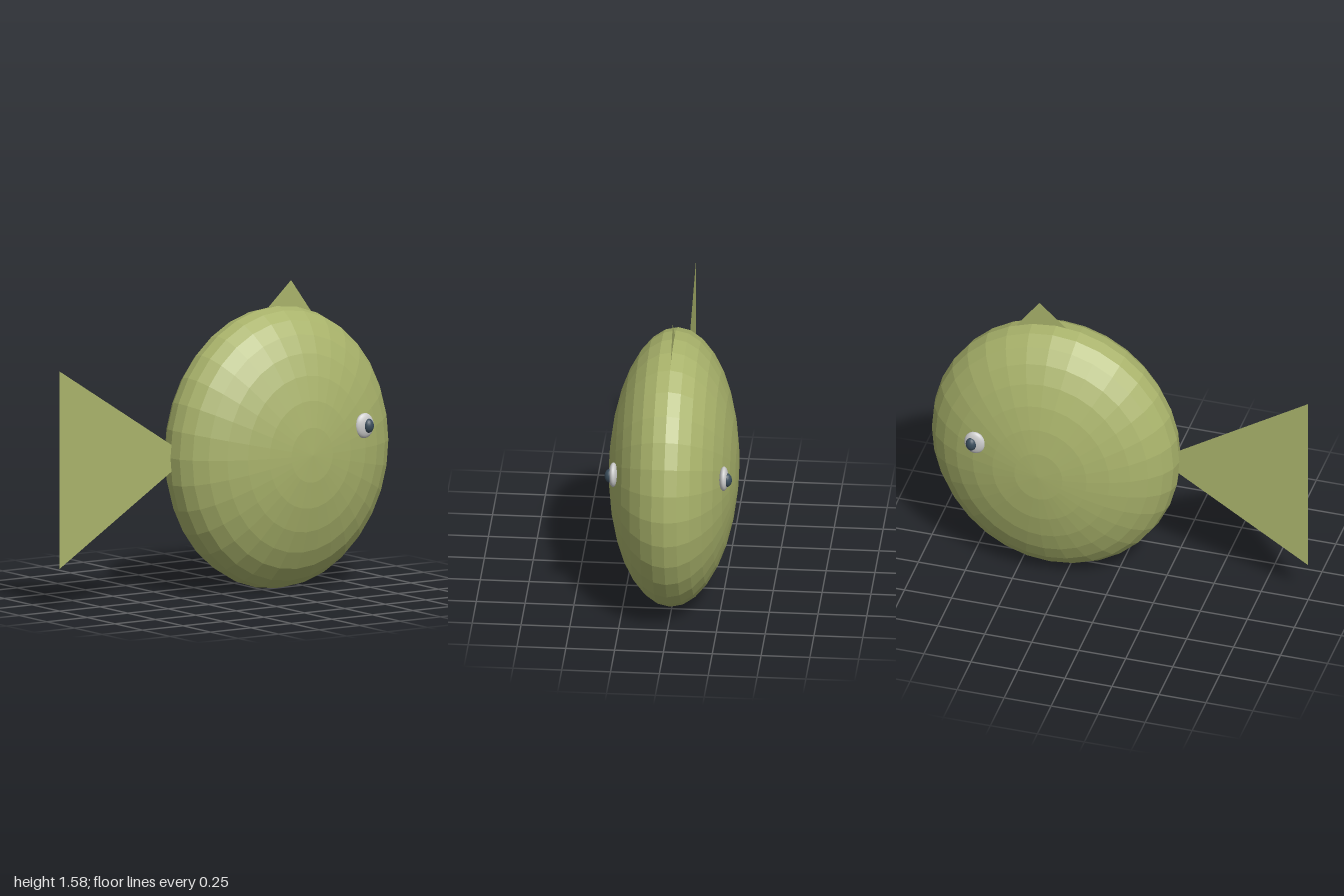
import * as THREE from 'three';

const green = new THREE.MeshStandardMaterial({ color: 0xa9b36b, flatShading: true });
const finGreen = new THREE.MeshStandardMaterial({ color: 0xa9b36b, side: THREE.DoubleSide });
const white = new THREE.MeshStandardMaterial({ color: 0xe0e0e0 });
const dark = new THREE.MeshStandardMaterial({ color: 0x3a4d5c });

// Ellipsoid whose poles point along z
function ellipsoid(name, material, [x, y, z], [rx, ry, rz], cols, rows) {
  const geo = new THREE.SphereGeometry(1, cols, rows).rotateX(Math.PI / 2).scale(rx, ry, rz);
  const mesh = new THREE.Mesh(geo, material);
  mesh.name = name;
  mesh.position.set(x, y, z);
  return mesh;
}

// Flat fin in the middle plane
function fin(name, points) {
  const shape = new THREE.Shape(points.map(([x, y]) => new THREE.Vector2(x, y)));
  const mesh = new THREE.Mesh(new THREE.ShapeGeometry(shape), finGreen);
  mesh.name = name;
  return mesh;
}

export function createModel() {
  const fish = new THREE.Group();
  fish.name = 'fish';

  fish.add(ellipsoid('body', green, [0.34, 0.73, 0], [0.655, 0.728, 0.33], 32, 16));

  // Fins run on into the body
  fish.add(fin('tailFin', [[-1, 0.22], [-0.2, 0.73], [-1, 1.24]]));
  fish.add(fin('backFin', [[0.2, 1.375], [0.6, 1.35], [0.43, 1.585]]));

  // Eyes on both flanks
  for (const side of [1, -1]) {
    const eye = new THREE.Group();
    eye.name = side > 0 ? 'frontEye' : 'backEye';
    eye.add(ellipsoid('eyeball', white, [0.69, 0.847, side * 0.283], [0.055, 0.065, 0.024], 24, 16));
    eye.add(ellipsoid('pupil', dark, [0.704, 0.847, side * 0.3], [0.028, 0.037, 0.026], 20, 12));
    fish.add(eye);
  }
  return fish;
}
